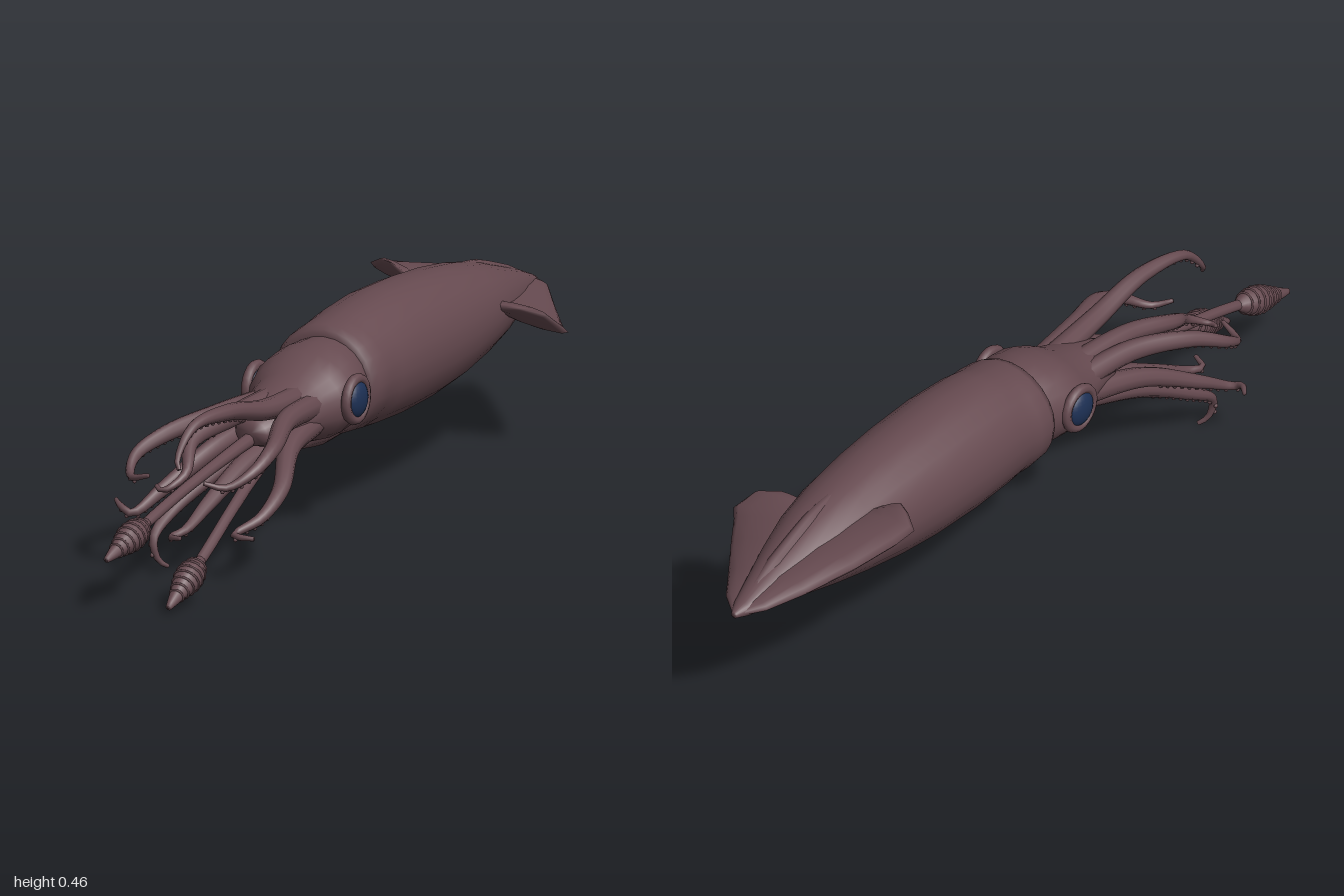
import * as THREE from 'three';

const V = (p) => new THREE.Vector3(...p);
const skin = new THREE.MeshStandardMaterial({ color: 0x664a50 });
skin.name = 'brown skin';
const eyeBlue = new THREE.MeshStandardMaterial({ color: 0x1d3054 });
eyeBlue.name = 'eye blue';

// Joins closed rings of points, each counter-clockwise about the direction of travel, and caps the ends.
function loftRings(rings) {
  const n = rings[0].length, pos = [], idx = [];
  rings.forEach((r) => r.forEach((p) => pos.push(p.x, p.y, p.z)));
  for (let i = 0; i < rings.length - 1; i++) {
    for (let j = 0; j < n; j++) {
      const a = i * n + j, b = i * n + (j + 1) % n;
      idx.push(a, b, a + n, b, b + n, a + n);
    }
  }
  [0, rings.length - 1].forEach((i) => {
    const c = new THREE.Vector3();
    rings[i].forEach((p) => c.addScaledVector(p, 1 / n));
    const ci = pos.length / 3;
    pos.push(c.x, c.y, c.z);
    for (let j = 0; j < n; j++) {
      const a = i * n + j, b = i * n + (j + 1) % n;
      if (i === 0) idx.push(ci, b, a); else idx.push(ci, a, b);
    }
  });
  const g = new THREE.BufferGeometry();
  g.setAttribute('position', new THREE.Float32BufferAttribute(pos, 3));
  g.setIndex(idx);
  g.computeVertexNormals();
  return g;
}

// Ellipse sections along z: [z, centreX, centreY, radiusX, radiusY]
function bodyLoft(sections, n = 24) {
  return loftRings(sections.map(([z, cx, cy, rx, ry]) => Array.from({ length: n }, (_, j) => {
    const a = j / n * Math.PI * 2;
    return new THREE.Vector3(cx + Math.cos(a) * rx, cy + Math.sin(a) * ry, z);
  })));
}

// Blade sections along z: [z, rootX, rootY, edgeX, edgeY, halfThickness]
function finLoft(sections, n = 12) {
  return loftRings(sections.map(([z, x0, y0, x1, y1, t]) => {
    const ux = (x1 - x0) / 2, uy = (y1 - y0) / 2, len = Math.hypot(ux, uy);
    return Array.from({ length: n }, (_, j) => {
      const a = j / n * Math.PI * 2, c = Math.cos(a), s = Math.sin(a) * t / len;
      return new THREE.Vector3((x0 + x1) / 2 + ux * c - uy * s, (y0 + y1) / 2 + uy * c + ux * s, z);
    });
  }));
}

// Reads a list of radii at t from 0 to 1
function sample(list, t) {
  const f = t * (list.length - 1), i = Math.min(Math.floor(f), list.length - 2);
  return THREE.MathUtils.lerp(list[i], list[i + 1], f - i);
}

// Tapered tube along a smooth path
function limb(points, radii, steps = 30, n = 10) {
  const curve = new THREE.CatmullRomCurve3(points.map(V));
  const fr = curve.computeFrenetFrames(steps);
  const rings = [];
  for (let i = 0; i <= steps; i++) {
    const c = curve.getPointAt(i / steps), r = sample(radii, i / steps);
    rings.push(Array.from({ length: n }, (_, j) => {
      const a = j / n * Math.PI * 2;
      return c.clone().addScaledVector(fr.normals[i], Math.cos(a) * r).addScaledVector(fr.binormals[i], Math.sin(a) * r);
    }));
  }
  return { geometry: loftRings(rings), curve };
}

export function createModel() {
  const model = new THREE.Group();
  model.name = 'squid';
  const add = (name, geometry, material = skin, parent = model) => {
    const m = new THREE.Mesh(geometry, material);
    m.name = name;
    parent.add(m);
    return m;
  };

  // Mantle, from the pointed tail to the open collar
  add('mantle', bodyLoft([
    [-1, -0.03, 0.3, 0.008, 0.008], [-0.97, -0.03, 0.303, 0.025, 0.018], [-0.9, -0.027, 0.31, 0.045, 0.038],
    [-0.8, -0.022, 0.315, 0.075, 0.066], [-0.7, -0.018, 0.319, 0.1, 0.094], [-0.6, -0.016, 0.32, 0.117, 0.115],
    [-0.48, -0.015, 0.318, 0.128, 0.134], [-0.36, -0.015, 0.317, 0.135, 0.144], [-0.22, -0.015, 0.317, 0.137, 0.148],
    [-0.1, -0.015, 0.315, 0.134, 0.141], [-0.06, -0.015, 0.313, 0.131, 0.135], [-0.03, -0.015, 0.312, 0.136, 0.131],
    [0.01, -0.015, 0.311, 0.134, 0.126], [0.03, -0.015, 0.31, 0.124, 0.12], [0.03, -0.015, 0.31, 0.105, 0.1],
  ]));
  // Ridge along the back between the fins
  add('backRidge', limb([[-0.03, 0.305, -0.98], [-0.025, 0.35, -0.85], [-0.02, 0.4, -0.7], [-0.016, 0.425, -0.57]],
    [0.008, 0.02, 0.018, 0.01]).geometry);

  // Fins, one lifted and one drooping
  add('rightFin', finLoft([
    [-0.99, -0.028, 0.3, -0.04, 0.3, 0.006], [-0.95, -0.025, 0.31, -0.085, 0.312, 0.012],
    [-0.87, -0.025, 0.33, -0.135, 0.335, 0.018], [-0.76, -0.03, 0.35, -0.19, 0.365, 0.02],
    [-0.66, -0.04, 0.36, -0.228, 0.393, 0.02], [-0.61, -0.06, 0.37, -0.237, 0.405, 0.018],
    [-0.585, -0.08, 0.375, -0.2, 0.424, 0.014], [-0.565, -0.1, 0.385, -0.165, 0.425, 0.005],
  ]));
  add('leftFin', finLoft([
    [-0.99, -0.03, 0.3, -0.015, 0.3, 0.006], [-0.95, -0.03, 0.308, 0.032, 0.3, 0.012],
    [-0.86, -0.025, 0.325, 0.095, 0.288, 0.018], [-0.75, -0.02, 0.335, 0.172, 0.282, 0.02],
    [-0.68, 0, 0.338, 0.218, 0.288, 0.02], [-0.65, 0.02, 0.34, 0.242, 0.294, 0.016],
    [-0.62, 0.04, 0.345, 0.205, 0.335, 0.014], [-0.6, 0.06, 0.345, 0.15, 0.348, 0.006],
  ]));

  // Head, narrowing into the base of the arms
  add('head', bodyLoft([
    [-0.02, -0.015, 0.31, 0.1, 0.1], [0.035, -0.013, 0.31, 0.112, 0.104], [0.08, -0.01, 0.308, 0.128, 0.106],
    [0.13, -0.01, 0.302, 0.131, 0.102], [0.17, -0.01, 0.296, 0.12, 0.091], [0.2, -0.01, 0.29, 0.1, 0.08],
    [0.25, -0.01, 0.286, 0.088, 0.068], [0.32, -0.01, 0.28, 0.075, 0.05], [0.38, -0.01, 0.275, 0.04, 0.03],
  ]));
  add('siphon', limb([[-0.015, 0.225, -0.03], [-0.015, 0.212, 0.06], [-0.015, 0.208, 0.15]], [0.05, 0.042, 0.026], 10).geometry);

  // Eyes with a rim of skin
  [['rightEye', -0.136], ['leftEye', 0.117]].forEach(([name, x]) => {
    const eye = add(name, new THREE.SphereGeometry(0.043, 20, 14), eyeBlue);
    eye.scale.x = 0.5;
    eye.position.set(x, 0.308, 0.122);
    const rim = add(name + 'Rim', new THREE.TorusGeometry(0.047, 0.012, 8, 24));
    rim.rotation.y = Math.PI / 2;
    rim.position.set(x, 0.308, 0.122);
  });

  // Eight curling arms with rows of small suckers underneath
  const sucker = new THREE.SphereGeometry(0.0055, 6, 4);
  const armRadii = [0.03, 0.027, 0.024, 0.021, 0.017, 0.011, 0.005];
  [
    [[0.02, 0.32, 0.2], [0.03, 0.338, 0.4], [0.025, 0.37, 0.56], [0.005, 0.362, 0.69], [0, 0.3, 0.75], [0.01, 0.283, 0.76]],
    [[-0.06, 0.305, 0.2], [-0.09, 0.31, 0.38], [-0.15, 0.29, 0.52], [-0.185, 0.255, 0.6], [-0.165, 0.222, 0.66], [-0.11, 0.235, 0.68]],
    [[-0.06, 0.27, 0.2], [-0.1, 0.23, 0.4], [-0.15, 0.165, 0.54], [-0.185, 0.125, 0.62], [-0.21, 0.137, 0.62], [-0.24, 0.143, 0.59]],
    [[-0.04, 0.25, 0.2], [-0.085, 0.185, 0.42], [-0.125, 0.118, 0.55], [-0.132, 0.07, 0.615], [-0.122, 0.022, 0.61], [-0.105, 0.006, 0.595]],
    [[0.05, 0.265, 0.2], [0.075, 0.245, 0.36], [0.122, 0.185, 0.49], [0.118, 0.14, 0.58], [0.085, 0.113, 0.64], [0.135, 0.11, 0.64]],
    [[0.05, 0.305, 0.2], [0.075, 0.31, 0.38], [0.117, 0.285, 0.52], [0.11, 0.25, 0.6], [0.07, 0.222, 0.65], [0.03, 0.235, 0.68]],
    [[-0.03, 0.32, 0.2], [-0.045, 0.315, 0.42], [-0.07, 0.288, 0.55], [-0.04, 0.235, 0.64], [-0.07, 0.208, 0.69], [-0.09, 0.215, 0.68]],
    [[0, 0.25, 0.2], [-0.02, 0.205, 0.4], [-0.035, 0.145, 0.54], [-0.045, 0.105, 0.63], [-0.06, 0.098, 0.67], [-0.025, 0.103, 0.69]],
  ].forEach((points, k) => {
    const arm = new THREE.Group();
    arm.name = 'arm' + (k + 1);
    model.add(arm);
    const { geometry, curve } = limb(points, armRadii, 32);
    add('armTube', geometry, skin, arm);
    for (let i = 0; i < 12; i++) {
      const t = 0.5 + i * 0.038, T = curve.getTangentAt(t);
      const down = new THREE.Vector3(0, -1, 0).addScaledVector(T, T.y).normalize();
      add('sucker', sucker, skin, arm).position.copy(curve.getPointAt(t)).addScaledVector(down, sample(armRadii, t));
    }
  });

  // Two long feeding tentacles ending in ridged clubs
  [
    [[-0.02, 0.27, 0.2], [-0.02, 0.25, 0.42], [-0.03, 0.21, 0.65], [-0.035, 0.178, 0.8], [-0.047, 0.124, 0.998]],
    [[0.03, 0.27, 0.2], [0.05, 0.235, 0.42], [0.072, 0.17, 0.62], [0.08, 0.1, 0.77], [0.083, 0.018, 0.947]],
  ].forEach((points, k) => {
    const tentacle = new THREE.Group();
    tentacle.name = k ? 'leftTentacle' : 'rightTentacle';
    model.add(tentacle);
    const stalk = limb(points, [0.02, 0.017, 0.014, 0.012, 0.011, 0.01], 32);
    add('stalk', limb(points, [0.02, 0.018, 0.016, 0.014, 0.013, 0.013, 0.012, 0.004], 32).geometry, skin, tentacle);
    const club = [0.78, 0.85, 0.92, 1].map((t) => stalk.curve.getPointAt(t).toArray());
    const radii = [0.011, 0.024, 0.032, 0.032, 0.026, 0.018, 0.013, 0.007];
    const { geometry, curve } = limb(club, radii, 20, 12);
    add('club', geometry, skin, tentacle);
    for (let i = 0; i < 7; i++) {
      const t = 0.15 + i * 0.1;
      const ridge = add('clubRidge', new THREE.TorusGeometry(sample(radii, t), 0.003, 5, 14), skin, tentacle);
      ridge.position.copy(curve.getPointAt(t));
      ridge.quaternion.setFromUnitVectors(new THREE.Vector3(0, 0, 1), curve.getTangentAt(t));
    }
  });
  return model;
}
